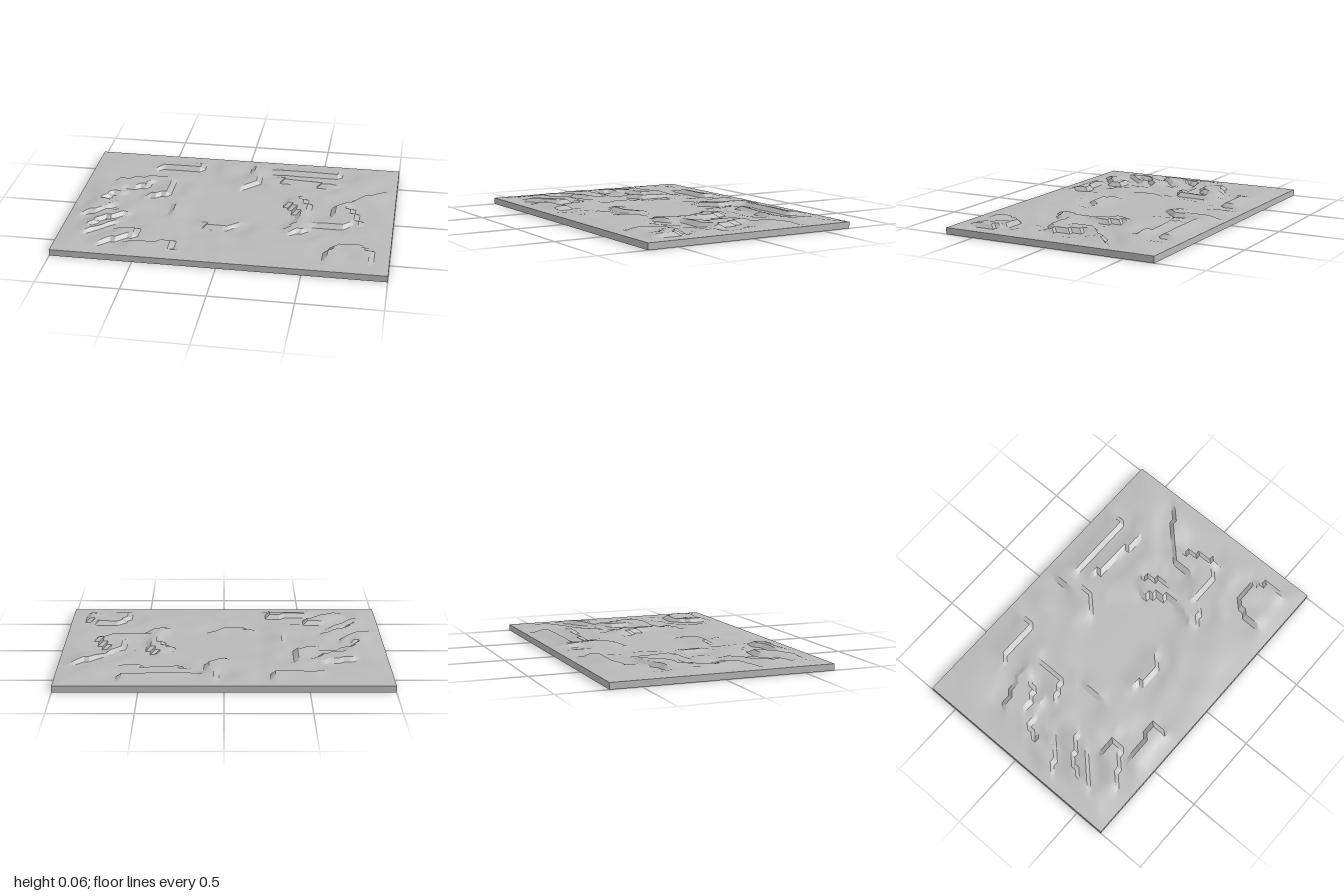
import * as THREE from 'three';
import { toCreasedNormals } from 'three/addons/utils/BufferGeometryUtils.js';

const W = 2, D = 1.38, BASE = 0.04, RELIEF = 0.025;

// Cliff lines as x, z pairs; the ground is high on the right hand of travel, seen from above
const CLIFFS = [
  [-.29, -.57, -.29, -.49, -.55, -.48],
  [-.45, -.28, -.45, -.12, -.54, -.07],
  [-.78, -.28, -.6, -.34, -.54, -.34],
  [-.54, -.3, -.6, -.2, -.72, -.16],
  [-.63, -.1, -.78, -.08, -.82, 0, -.78, .1],
  [-.74, .06, -.76, .12, -.9, .22],
  [-.65, .2, -.78, .27, -.82, .35],
  [-.68, .3, -.82, .44],
  [-.62, .38, -.53, .38, -.53, .45, -.72, .57],
  [-.55, .53, -.3, .5, -.28, .57],
  [.07, .23, -.02, .29, -.2, .26],
  [.37, .2, .42, .12, .39, 0, .33, -.09],
  [.42, -.16, .47, -.1, .48, .1, .43, .2],
  [.74, .12, .72, .15, .52, .16],
  [.63, 0, .62, -.08, .72, -.2, .9, -.34],
  [.7, -.16, .75, -.03, .8, .1],
  [.63, .55, .64, .41, .7, .38, .82, .38],
  [.84, .4, .9, .47, .89, .54],
  [.06, -.5, .06, -.6],
  [.1, -.5, .09, -.34, .02, -.28],
  [.62, -.6, .62, -.51, .2, -.51],
  [.58, -.38, .25, -.42],
  [-.38, .13, -.38, .03],
  [.5, .21, .42, .27],
];

const smooth = THREE.MathUtils.smoothstep;

// Raised shelf on one side of a cliff line, sunken ground on the other
function cliffEffect(line, x, z) {
  let best = Infinity, effect = 0;
  for (let i = 0; i + 3 < line.length; i += 2) {
    const [ax, az, bx, bz] = line.slice(i, i + 4);
    const dx = bx - ax, dz = bz - az, len = Math.hypot(dx, dz);
    const along = ((x - ax) * dx + (z - az) * dz) / len;
    const t = THREE.MathUtils.clamp(along, 0, len);
    const dist = Math.hypot(x - ax - dx * t / len, z - az - dz * t / len);
    if (dist >= best) continue;
    best = dist;
    const side = dx * (z - az) - dz * (x - ax);
    const past = Math.abs(along - t);
    effect = (side > 0 ? 0.65 : -0.6) * (1 - smooth(dist, 0.01, 0.15)) * Math.max(0, 1 - past / 0.07);
  }
  return effect;
}

// Gentle rolling ground
function rolling(x, z) {
  return 0.42 + 0.16 * Math.sin(7 * x + 3 * Math.sin(4 * z)) * Math.cos(8 * z + 2 * x)
    + 0.12 * Math.sin(15 * x - 9 * z + 2 * Math.sin(6 * x)) + 0.08 * Math.cos(19 * z + 11 * x);
}

function heightAt(x, z) {
  const border = Math.min(1 - Math.abs(x), D / 2 - Math.abs(z));
  let h = rolling(x, z);
  // flat basin in the middle
  h *= smooth(Math.hypot(x / 0.42, z / 0.33), 0.6, 1.15);
  for (const line of CLIFFS) h += cliffEffect(line, x, z);
  // narrow valley crossing the board
  h *= 1 - 0.8 * Math.exp(-(((x + 0.22) / 0.035) ** 2));
  h = THREE.MathUtils.clamp(h, 0, 1);
  return BASE + RELIEF * h * THREE.MathUtils.clamp(border / 0.13, 0, 1);
}

export function createModel() {
  const group = new THREE.Group();
  group.name = 'terrainBoard';
  const stone = new THREE.MeshStandardMaterial({ color: 0xb8b8b8 });
  stone.name = 'stone grey';

  // Slab whose upper face is shaped into terrain
  const slab = new THREE.BoxGeometry(W, BASE, D, 66, 1, 46);
  slab.translate(0, BASE / 2, 0);
  const p = slab.attributes.position;
  for (let i = 0; i < p.count; i++) {
    if (p.getY(i) > BASE / 2) p.setY(i, heightAt(p.getX(i), p.getZ(i)));
  }
  const terrain = new THREE.Mesh(toCreasedNormals(slab, 0.5), stone);
  terrain.name = 'terrainSlab';
  group.add(terrain);
  return group;
}
